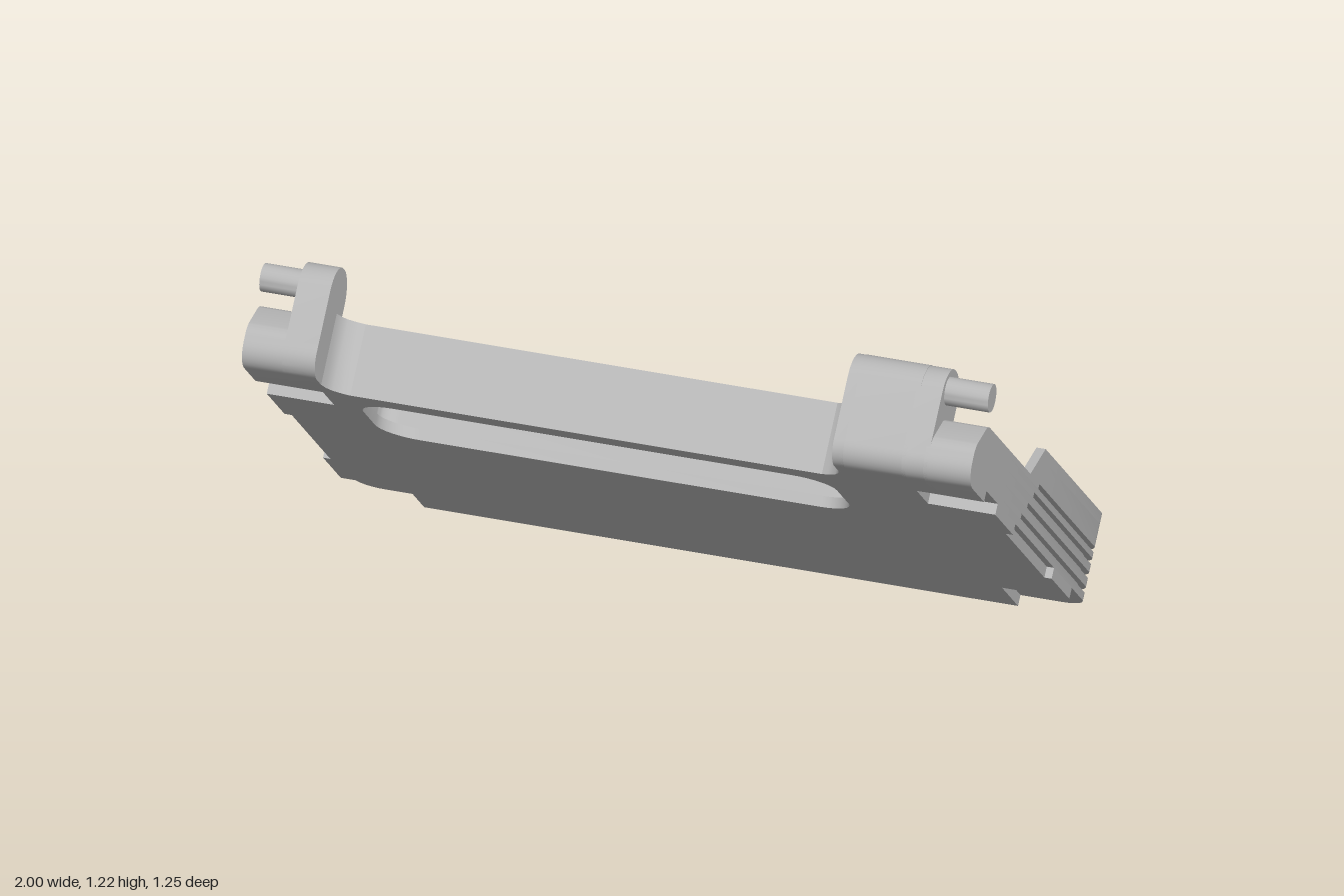
import * as THREE from 'three';
import { toCreasedNormals } from 'three/addons/utils/BufferGeometryUtils.js';

// Tray coordinates: x across, u up the slope, n away from the underside.
const grey = new THREE.MeshStandardMaterial({ color: 0xb8b8b8 });
grey.name = 'grey plastic';

// Closed polygon; each point is [a, b, cornerRadius].
function trace(path, pts) {
  const v = pts.map(p => new THREE.Vector2(p[0], p[1]));
  pts.forEach((p, i) => {
    const c = v[i], prev = v[(i + v.length - 1) % v.length], next = v[(i + 1) % v.length];
    const r = p[2] || 0;
    const a = c.clone().add(prev.clone().sub(c).setLength(r));
    const b = c.clone().add(next.clone().sub(c).setLength(r));
    if (i === 0) path.moveTo(a.x, a.y); else path.lineTo(a.x, a.y);
    if (r) path.bezierCurveTo(a.x + (c.x - a.x) * 0.55, a.y + (c.y - a.y) * 0.55,
      b.x + (c.x - b.x) * 0.55, b.y + (c.y - b.y) * 0.55, b.x, b.y);
  });
  path.closePath();
  return path;
}

function shapeOf(pts, holes = []) {
  const s = trace(new THREE.Shape(), pts);
  holes.forEach(h => s.holes.push(h instanceof THREE.Path ? h : trace(new THREE.Path(), h)));
  return s;
}

function addMesh(parent, name, geo) {
  const m = new THREE.Mesh(toCreasedNormals(geo, 0.6), grey);
  m.name = name;
  parent.add(m);
  return m;
}

// Extrude an (x, u) outline from n0 to n1.
function slab(parent, name, pts, n0, n1, holes) {
  const g = new THREE.ExtrudeGeometry(shapeOf(pts, holes), { depth: n1 - n0, bevelEnabled: false, curveSegments: 8 });
  g.translate(0, 0, -n1);
  return addMesh(parent, name, g);
}

// Extrude a (u, n) profile from x0 to x1.
function rib(parent, name, pts, x0, x1) {
  const g = new THREE.ExtrudeGeometry(shapeOf(pts), { depth: x1 - x0, bevelEnabled: false, curveSegments: 8 });
  g.applyMatrix4(new THREE.Matrix4().makeBasis(
    new THREE.Vector3(0, 1, 0), new THREE.Vector3(0, 0, -1), new THREE.Vector3(-1, 0, 0)));
  g.translate(x1, 0, 0);
  return addMesh(parent, name, g);
}

const rect = (x0, x1, u0, u1, r = 0) => [[x0, u0, r], [x1, u0, r], [x1, u1, r], [x0, u1, r]];
const circle = (x, u, r) => new THREE.Path().absarc(x, u, r, 0, Math.PI * 2, true);

// Outer outline, set in by d below uEnd to form a groove.
function outline(d, uEnd) {
  const e = 1 - d;
  const left = d ? [[-1, uEnd], [-e, uEnd]] : [];
  const right = d ? [[e, uEnd], [1, uEnd]] : [];
  return [[-e, d, 0.07], [e, d, 0.07], ...right, [1, 1.273], [0.88, 1.273], [0.88, 1.4],
    [0.62, 1.4], [0.62, 1.273], [-1, 1.273], ...left];
}

export function createModel() {
  const model = new THREE.Group();
  model.name = 'tiltedTray';
  const tray = new THREE.Group();
  tray.name = 'tray';
  tray.rotation.x = Math.PI / 4;
  tray.position.z = -0.39;
  model.add(tray);

  // Underside plate with corner recesses, side dents and the long window
  const side = [[0.815, 0], [0.815, 0.2], [1, 0.2], [1, 0.42], [0.98, 0.42], [0.98, 0.9], [1, 0.9],
    [1, 1.12], [0.815, 1.12], [0.815, 1.26]];
  const floor = [...side, [0.88, 1.26], [0.88, 1.4], [0.62, 1.4], [0.62, 1.273], [-0.815, 1.273],
    ...side.slice().reverse().map(([x, u]) => [-x, u])];
  slab(tray, 'floor', floor, 0, 0.03, [rect(-0.74, 0.56, 0.85, 1.195, 0.1)]);

  // Raised frame around the shallow pocket, then grooved outer walls
  const pocket = [[-0.8, 0.18], [0.83, 0.18, 0.24], [0.83, 1.24], [0.81, 1.24], [0.81, 1.385],
    [0.65, 1.385], [0.65, 1.24], [-0.8, 1.24]];
  const inside = [[-0.96, 0.06, 0.04], [0.96, 0.06, 0.04], [0.96, 1.24], [0.81, 1.24], [0.81, 1.385],
    [0.65, 1.385], [0.65, 1.24], [-0.96, 1.24]];
  const levels = [0.03, 0.052, 0.068, 0.092, 0.108, 0.13, 0.146, 0.163, 0.177];
  for (let i = 0; i < levels.length - 1; i++) {
    const n0 = levels[i], n1 = levels[i + 1], groove = i % 2 === 1;
    const holes = n1 <= 0.068
      ? [pocket, ...[-0.9, 0.9].flatMap(x => [circle(x, 0.125, 0.027), circle(x, 1.186, 0.027)])]
      : [inside];
    slab(tray, groove ? 'wallGroove' : 'wallBand', outline(groove ? 0.018 : 0, 0.912 - n0), n0, n1, holes);
  }
  slab(tray, 'cornerPad', rect(-0.96, -0.8, 0.06, 0.3), 0.068, 0.085, [circle(-0.9, 0.125, 0.027)]);

  // Thin upper rim with a shallow dip in the middle of the low end
  slab(tray, 'upperRim', [[-1, 0, 0.07], [1, 0, 0.07], [1, 0.764], [0.975, 0.764], [0.975, 0.03, 0.05],
    [-0.975, 0.03, 0.05], [-0.975, 0.764], [-1, 0.764]], 0.177, 0.24);
  for (const s of [-1, 1]) {
    slab(tray, 'rimTop', [[0.22, 0], [1, 0, 0.07], [1, 0.764], [0.975, 0.764], [0.975, 0.03, 0.05],
      [0.22, 0.03]].map(([x, u, r]) => [s * x, u, r]), 0.24, 0.269);
    const x = s * 0.9875;
    rib(tray, 'rimSlope', [[0.764, 0.177], [0.86, 0.177], [0.764, 0.269]], x - 0.0125, x + 0.0125);
  }
  slab(tray, 'highEndLip', rect(-0.8, 0.65, 1.24, 1.273), 0.177, 0.195);

  // Fillets where the high end meets the arms
  slab(tray, 'armFillet', [[-0.8, 1.27], [-0.73, 1.27], [-0.755, 1.28], [-0.78, 1.298], [-0.793, 1.32],
    [-0.8, 1.35]], 0, 0.195);
  slab(tray, 'armFillet', [[0.62, 1.27], [0.55, 1.27], [0.575, 1.28], [0.6, 1.298], [0.613, 1.32],
    [0.62, 1.35]], 0, 0.195);

  // Arm ends, hinge ears and pins
  const arm = [[1.26, 0], [1.464, 0, 0.06], [1.464, 0.1, 0.02], [1.385, 0.177, 0.02], [1.26, 0.177]];
  const ear = [[1.29, 0], [1.464, 0, 0.06], [1.464, 0.31, 0.08], [1.29, 0.31, 0.08]];
  rib(tray, 'rightArm', arm, -1, -0.8);
  rib(tray, 'leftArm', arm, 0.87, 1);
  rib(tray, 'rightEar', ear, -0.89, -0.8);
  rib(tray, 'leftEar', ear, 0.81, 0.88);
  rib(tray, 'leftEarInnerWall', ear, 0.62, 0.65);
  rib(tray, 'leftEarShell', [[1.385, 0], [1.464, 0, 0.06], [1.464, 0.31, 0.075], [1.385, 0.31]], 0.64, 0.82);
  for (const s of [-1, 1]) {
    const pin = new THREE.CylinderGeometry(0.038, 0.038, 0.13, 24);
    pin.rotateZ(Math.PI / 2);
    pin.translate(s * 0.935, 1.407, -0.247);
    addMesh(tray, 'hingePin', pin);
  }

  // Clips on the low end: flared fins that taper towards the underside
  const depthAt = n => (n < 0.16 ? n / 0.16 : n < 0.23 ? 1 : 1 - (n - 0.23) / 0.039 * 0.3);
  const fins = [
    [[0.27, 0.01], [0.31, -0.012], [0.345, -0.035], [0.362, -0.09], [0.405, -0.09], [0.41, 0.01]],
    [[0.67, 0.01], [0.64, -0.012], [0.615, -0.035], [0.602, -0.09], [0.562, -0.09], [0.555, 0.01]],
  ];
  for (const s of [-1, 1]) {
    for (const f of fins) {
      const g = new THREE.ExtrudeGeometry(shapeOf(f.map(([x, u]) => [s * x, u])),
        { depth: 0.269, steps: 10, bevelEnabled: false });
      g.translate(0, 0, -0.269);
      const p = g.attributes.position;
      for (let i = 0; i < p.count; i++) {
        if (p.getY(i) < 0) p.setY(i, p.getY(i) * depthAt(-p.getZ(i)));
      }
      g.computeVertexNormals();
      addMesh(tray, 'clipFin', g);
    }
    const x = s * 0.4825;
    rib(tray, 'clipBar', [[0.02, 0.1], [-0.035, 0.15], [-0.035, 0.25], [0.02, 0.265]], x - 0.08, x + 0.08);
  }
  return model;
}
